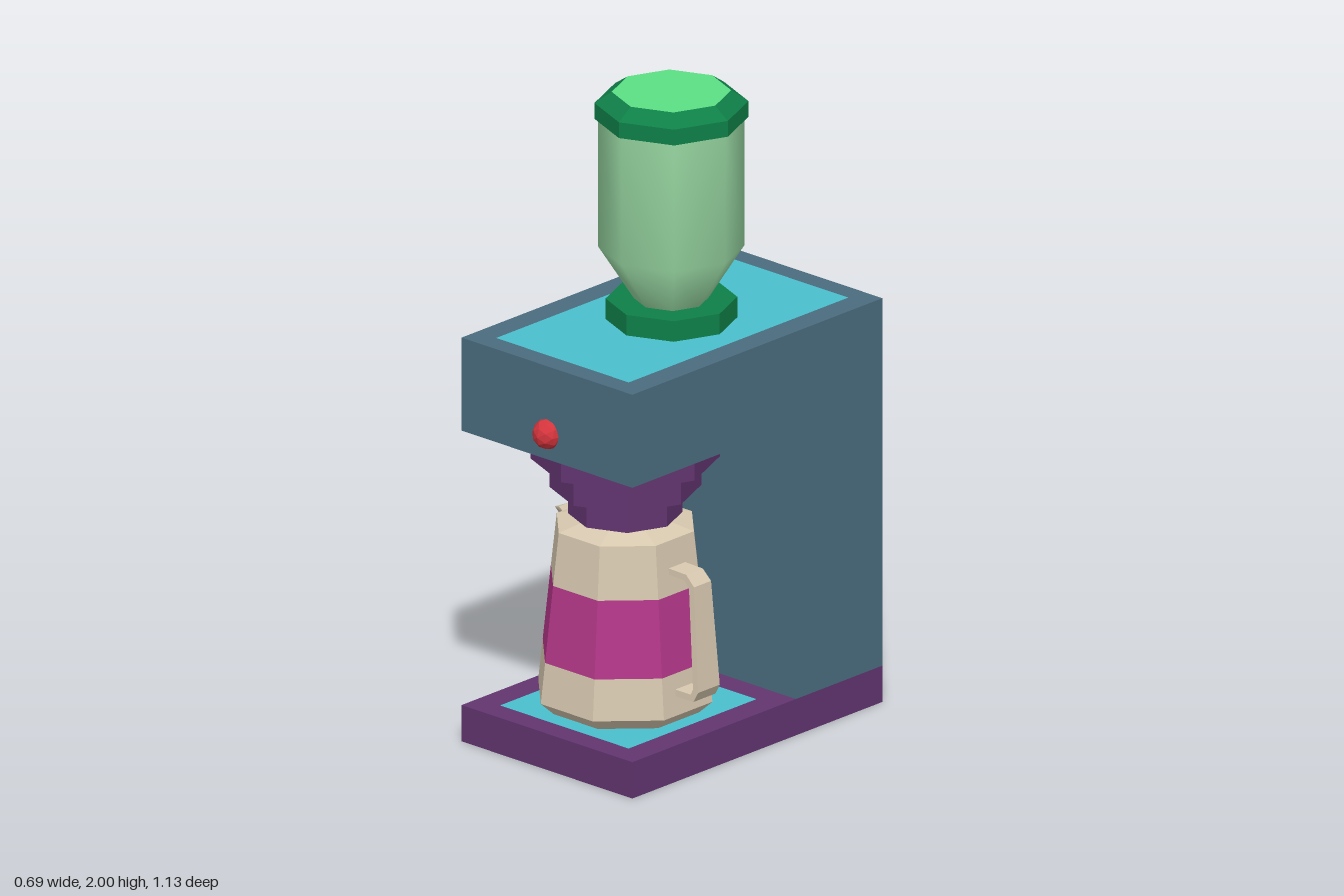
import * as THREE from 'three';
import { ConvexGeometry } from 'three/addons/geometries/ConvexGeometry.js';

const HALF = 0.345, BACK = -0.565, FRONT = 0.52, COLUMN = -0.19;
const BASE = 0.115, HEAD = 0.985, TOP = 1.28, POT_Z = 0.18;

function material(name, color, double = false, flat = true) {
  const m = new THREE.MeshStandardMaterial({ color, flatShading: flat });
  m.name = name;
  if (double) m.side = THREE.DoubleSide;
  return m;
}

function polygon(points) {
  return new THREE.Shape(points.map(([x, y]) => new THREE.Vector2(x, y)));
}

function rectangle(x0, x1, z0, z1) {
  return polygon([[x0, -z0], [x1, -z0], [x1, -z1], [x0, -z1]]);
}

export function createModel() {
  const group = new THREE.Group();
  const mats = {
    body: material('slate blue', 0x4a6d7f, true),
    purple: material('purple', 0x623570, true),
    cyan: material('cyan', 0x4abfce, true),
    darkGreen: material('dark green', 0x0f8048),
    green: material('bright green', 0x5ce085),
    jar: material('pale green', 0x98d8a2, true, false),
    cream: material('cream', 0xd8c9b0, true),
    magenta: material('magenta', 0xb5378a, true),
    red: material('red', 0xd4343c),
  };

  function add(name, geometry, mat, x = 0, y = 0, z = 0) {
    const mesh = new THREE.Mesh(geometry, mat);
    mesh.name = name;
    mesh.position.set(x, y, z);
    group.add(mesh);
    return mesh;
  }

  // Upright panel facing z
  function wall(name, y0, y1, z, mat) {
    add(name, new THREE.PlaneGeometry(2 * HALF, y1 - y0), mat, 0, (y0 + y1) / 2, z);
  }

  // Mirrored pair of side panels from a (z, y) outline
  function sides(name, outline, mat) {
    for (const s of [-1, 1]) {
      const g = new THREE.ShapeGeometry(polygon(outline)).rotateY(-Math.PI / 2);
      add(name, g, mat, s * HALF);
    }
  }

  // Horizontal panel, optionally with an inlaid plate
  function deck(name, y, z0, z1, mat, inlay) {
    const shape = rectangle(-HALF, HALF, z0, z1);
    if (inlay) {
      const [w, a, b] = inlay;
      const plate = rectangle(-w, w, a, b);
      shape.holes.push(plate);
      add(name + 'Inlay', new THREE.ShapeGeometry(plate).rotateX(-Math.PI / 2), mats.cyan, 0, y);
    }
    add(name, new THREE.ShapeGeometry(shape).rotateX(-Math.PI / 2), mat, 0, y);
  }

  // Eight-sided drum between two heights
  function drum(name, y0, y1, r0, r1, mat, z, open = false) {
    return add(name, new THREE.CylinderGeometry(r1, r0, y1 - y0, 8, 1, open), mat, 0, (y0 + y1) / 2, z);
  }

  // Hollow base, open underneath
  sides('baseSide', [[BACK, 0], [FRONT, 0], [FRONT, BASE], [BACK, BASE]], mats.purple);
  wall('baseFront', 0, BASE, FRONT, mats.purple);
  wall('baseBack', 0, BASE, BACK, mats.purple);
  deck('baseTop', BASE, COLUMN, FRONT, mats.purple, [0.26, -0.11, 0.445]);

  // Column and overhanging head
  sides('bodySide', [[BACK, BASE], [COLUMN, BASE], [COLUMN, HEAD], [FRONT, HEAD], [FRONT, TOP], [BACK, TOP]], mats.body);
  wall('bodyBack', BASE, TOP, BACK, mats.body);
  wall('columnFront', BASE, HEAD, COLUMN, mats.body);
  wall('headFront', HEAD, TOP, FRONT, mats.body);
  deck('headUnderside', HEAD, COLUMN, FRONT, mats.body);
  deck('headTop', TOP, BACK, FRONT, mats.body, [0.268, -0.5, 0.453]);

  // Button
  add('button', new THREE.IcosahedronGeometry(0.048, 1), mats.red, 0, 1.065, 0.515);

  // Bean hopper
  const hopperZ = -0.02;
  drum('hopperCollar', TOP, 1.345, 0.195, 0.195, mats.darkGreen, hopperZ);
  const jarProfile = [[0.108, 1.34], [0.217, 1.51], [0.217, 1.92]].map(([x, y]) => new THREE.Vector2(x, y));
  add('hopperJar', new THREE.LatheGeometry(jarProfile, 8), mats.jar, 0, 0, hopperZ);
  drum('lidRim', 1.915, 1.965, 0.228, 0.228, mats.darkGreen, hopperZ);
  drum('lidBevel', 1.965, 2, 0.228, 0.177, mats.darkGreen, hopperZ, true);
  const lid = add('lidTop', new THREE.CircleGeometry(0.177, 8).rotateX(-Math.PI / 2), mats.green, 0, 2, hopperZ);
  lid.receiveShadow = false;

  // Stepped filter holder
  [[0.895, HEAD, 0.28], [0.805, 0.895, 0.225], [0.72, 0.805, 0.169]].forEach(([y0, y1, r]) =>
    drum('filterTier', y0, y1, r, r, mats.purple, POT_Z));

  // Pot: stacked rings of [y, half width], with a coloured band
  const rings = [[0.118, 0.215], [0.157, 0.254], [0.285, 0.241], [0.525, 0.217], [0.69, 0.2], [0.717, 0.11]];
  const k = 1 / Math.cos(Math.PI / 8);
  for (let i = 0; i < rings.length - 1; i++) {
    const [[y0, r0], [y1, r1]] = [rings[i], rings[i + 1]];
    const band = i === 2;
    const capped = i === 0 || i === rings.length - 2;
    drum(band ? 'potBand' : 'potWall', y0, y1, r0 * k, r1 * k, band ? mats.magenta : mats.cream, POT_Z, !capped)
      .rotation.y = Math.PI / 8;
  }

  // Spout
  const spout = [[-0.285, 0.665, 0], [-0.245, 0.682, 0.025], [-0.245, 0.682, -0.025],
    [-0.19, 0.685, 0.06], [-0.19, 0.685, -0.06], [-0.2, 0.59, 0]];
  add('spout', new ConvexGeometry(spout.map((p) => new THREE.Vector3(...p))), mats.cream, 0, 0, POT_Z);

  // Handle, widening towards its lower end
  const handle = new THREE.ExtrudeGeometry(polygon([
    [0.2, 0.608], [0.28, 0.606], [0.312, 0.575], [0.338, 0.25], [0.32, 0.217], [0.235, 0.217],
    [0.235, 0.237], [0.308, 0.237], [0.317, 0.255], [0.292, 0.567], [0.272, 0.587], [0.2, 0.589],
  ]), { depth: 2, bevelEnabled: false });
  const p = handle.attributes.position;
  for (let i = 0; i < p.count; i++) {
    const half = THREE.MathUtils.mapLinear(p.getY(i), 0.217, 0.608, 0.048, 0.036);
    p.setZ(i, (p.getZ(i) - 1) * half);
  }
  add('handle', handle, mats.cream, 0, 0, POT_Z);

  return group;
}
